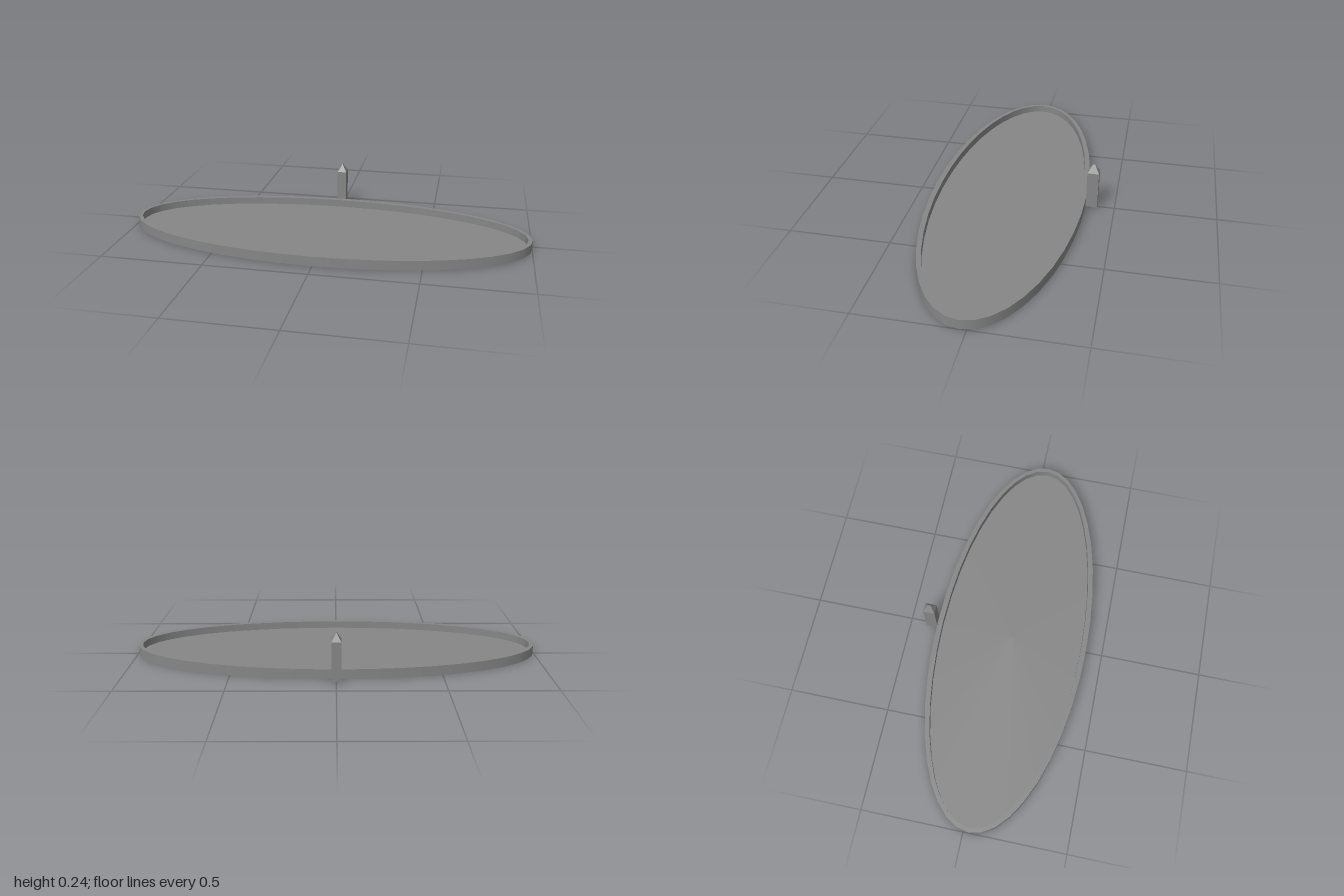
import * as THREE from 'three';

const SEGMENTS = 40;
const HEIGHT = 0.048, FLOOR = 0.011, CENTRE_Z = 0.029;
const OUTER = [1, 0.386], INNER = [0.98, 0.36]; // half-axes in x and z

export function createModel() {
  const model = new THREE.Group();
  const material = new THREE.MeshStandardMaterial({ color: 0x868686 });
  const add = (parent, name, geometry) => {
    const mesh = new THREE.Mesh(geometry, material);
    mesh.name = name;
    parent.add(mesh);
    return mesh;
  };

  // Elliptical wall; listing the heights downwards makes it face inwards
  const wall = ([rx, rz], yStart, yEnd) =>
    new THREE.LatheGeometry([new THREE.Vector2(1, yStart), new THREE.Vector2(1, yEnd)], SEGMENTS)
      .scale(rx, 1, rz);

  // Flat elliptical disc, facing up (1) or down (-1)
  const disc = ([rx, rz], y, facing) =>
    new THREE.CircleGeometry(1, SEGMENTS).rotateX(-facing * Math.PI / 2)
      .scale(rx, 1, rz).translate(0, y, 0);

  const outline = ([rx, rz]) => Array.from({ length: SEGMENTS }, (_, i) => {
    const a = i / SEGMENTS * Math.PI * 2;
    return new THREE.Vector2(rx * Math.cos(a), rz * Math.sin(a));
  });

  // Shallow oval tray
  const tray = new THREE.Group();
  tray.name = 'tray';
  tray.position.z = CENTRE_Z;
  model.add(tray);
  add(tray, 'outerWall', wall(OUTER, 0, HEIGHT));
  add(tray, 'innerWall', wall(INNER, HEIGHT, FLOOR));
  add(tray, 'underside', disc(OUTER, 0, -1));
  add(tray, 'floor', disc(INNER, FLOOR, 1));
  const rim = new THREE.Shape(outline(OUTER));
  rim.holes.push(new THREE.Path(outline(INNER)));
  add(tray, 'rim', new THREE.ShapeGeometry(rim).rotateX(-Math.PI / 2).translate(0, HEIGHT, 0));

  // Post at the back: a box whose top section narrows to a short ridge
  const bottom = 0.009, shoulder = 0.2, peak = 0.24;
  const post = new THREE.BoxGeometry(0.046, peak - bottom, 0.057, 1, 2, 1)
    .translate(0, (peak + bottom) / 2, 0);
  const p = post.attributes.position;
  for (let i = 0; i < p.count; i++) {
    const y = p.getY(i);
    if (y > peak - 0.001) p.setXYZ(i, 0, peak, Math.sign(p.getZ(i)) * 0.0055);
    else if (y > bottom + 0.001) p.setY(i, shoulder);
  }
  const flatPost = post.toNonIndexed();
  flatPost.computeVertexNormals();
  add(model, 'post', flatPost).position.z = -0.3865;

  return model;
}
